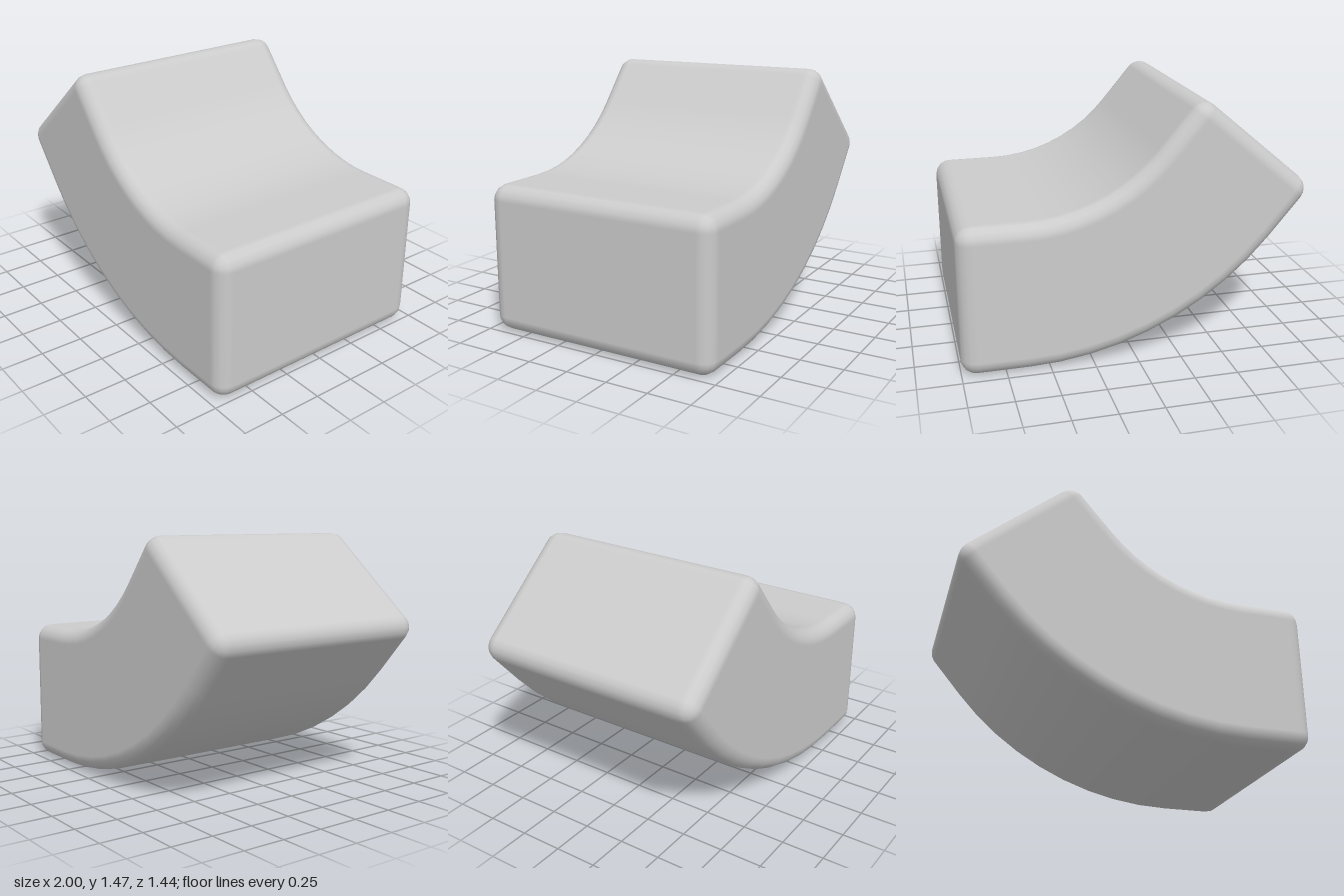
import * as THREE from 'three';

const HEIGHT = 0.87, DEPTH = 1.44, ROUND = 0.09;
const BEND = THREE.MathUtils.degToRad(50);
const CENTRE = new THREE.Vector2(0.62, 1.85); // centre of the bend
const MID_RADIUS = CENTRE.y - HEIGHT / 2;
const STRAIGHT = 0.38, ARC = BEND * MID_RADIUS;
const LENGTH = STRAIGHT * 2 + ARC - 0.007;
const ARC_STEPS = 9, EDGE_STEPS = 2;

// Grid lines across one side of the block, dense at the rounded edges
function gridLines(size, inner = []) {
  const core = size / 2 - ROUND, edge = [];
  for (let i = 0; i <= EDGE_STEPS; i++) {
    edge.push(core + ROUND * Math.tan((i / EDGE_STEPS) * Math.PI / 4));
  }
  return [...edge.map((e) => -e), ...inner, ...edge].sort((a, b) => a - b);
}

// Block with rounded edges, laid out straight along x
function roundedBlock(lines, half) {
  const n = lines.map((l) => l.length - 1);
  const geometry = new THREE.BoxGeometry(1, 1, 1, ...n);
  const { position, normal } = geometry.attributes;
  const p = new THREE.Vector3(), core = new THREE.Vector3();
  const limit = half.clone().subScalar(ROUND);
  for (let i = 0; i < position.count; i++) {
    p.fromBufferAttribute(position, i);
    p.fromArray(p.toArray().map((c, k) => lines[k][Math.round((c + 0.5) * n[k])]));
    core.copy(p).clamp(limit.clone().negate(), limit);
    p.sub(core).normalize();
    normal.setXYZ(i, p.x, p.y, p.z);
    p.multiplyScalar(ROUND).add(core);
    position.setXYZ(i, p.x, p.y, p.z);
  }
  return geometry;
}

// Curl the block upward: straight end, arc, straight end
function bend(geometry) {
  const { position, normal } = geometry.attributes;
  for (let i = 0; i < position.count; i++) {
    const s = LENGTH / 2 - position.getX(i) - STRAIGHT;
    const radius = CENTRE.y - HEIGHT / 2 - position.getY(i);
    const along = THREE.MathUtils.clamp(s, 0, ARC);
    const rest = s - along;
    const sin = Math.sin(along / MID_RADIUS), cos = Math.cos(along / MID_RADIUS);
    position.setXY(i, CENTRE.x - radius * sin - rest * cos, CENTRE.y - radius * cos + rest * sin);
    const nx = normal.getX(i), ny = normal.getY(i);
    normal.setXY(i, nx * cos + ny * sin, ny * cos - nx * sin);
  }
  return geometry;
}

export function createModel() {
  const group = new THREE.Group();
  group.name = 'curvedBlock';
  const arcLines = [];
  for (let i = 0; i <= ARC_STEPS; i++) {
    arcLines.push(LENGTH / 2 - STRAIGHT - (ARC * i) / ARC_STEPS);
  }
  const lines = [gridLines(LENGTH, arcLines), gridLines(HEIGHT), gridLines(DEPTH)];
  const half = new THREE.Vector3(LENGTH, HEIGHT, DEPTH).multiplyScalar(0.5);
  const block = new THREE.Mesh(
    bend(roundedBlock(lines, half)),
    new THREE.MeshStandardMaterial({ color: 0xcccccc })
  );
  block.name = 'bentRoundedBlock';
  group.add(block);
  return group;
}
